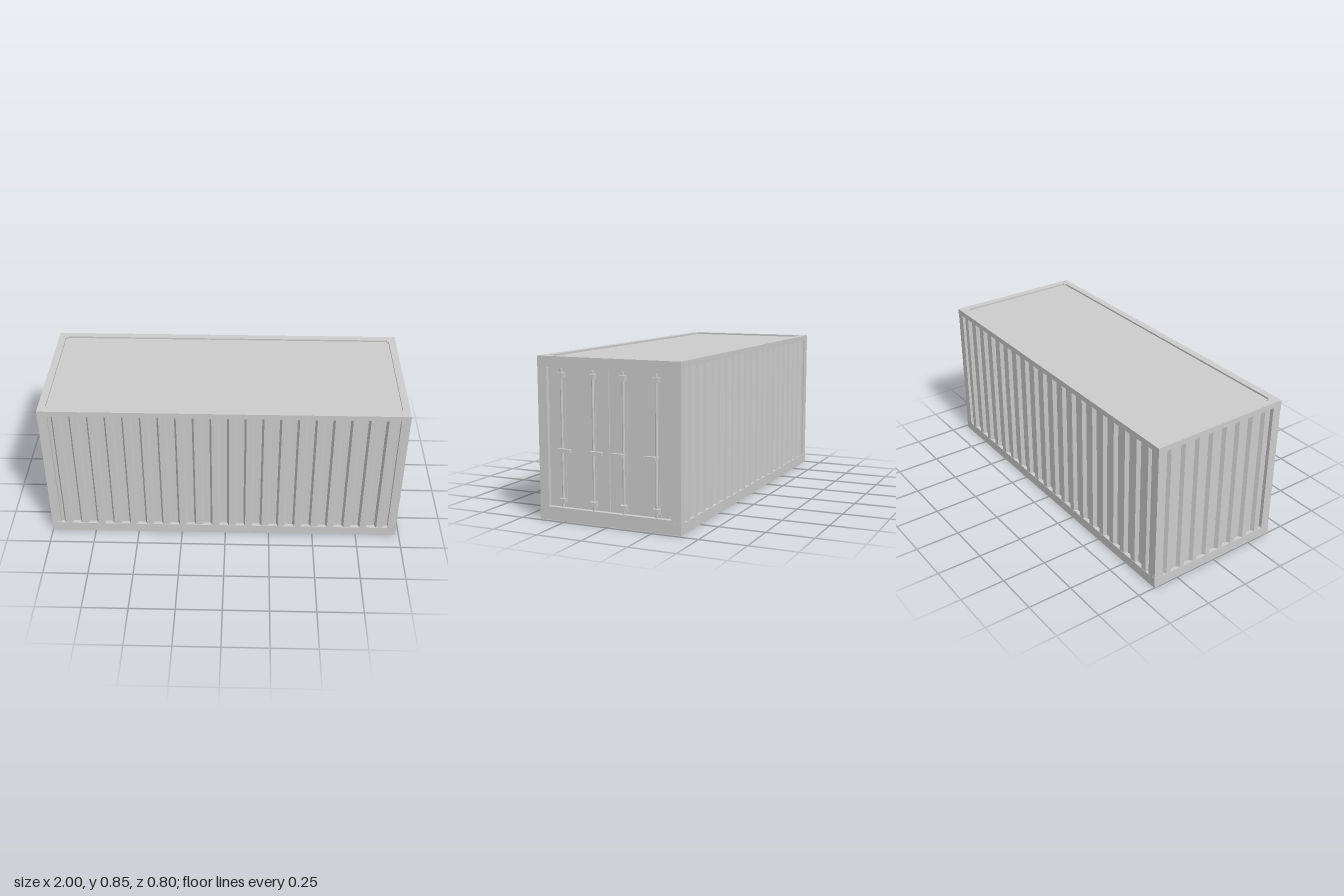
import * as THREE from 'three';

const X0 = -1, X1 = 0.98, Z = 0.4, H = 0.845; // outer frame limits
const MID = (X0 + X1) / 2;

export function createModel() {
  const root = new THREE.Group();
  root.name = 'shippingContainer';
  const mat = new THREE.MeshStandardMaterial({ color: 0xcccccc, flatShading: true });

  const add = (name, geometry, parent = root) => {
    const mesh = new THREE.Mesh(geometry, mat);
    mesh.name = name;
    parent.add(mesh);
    return mesh;
  };
  // Box given by its limits on each axis
  const box = (name, x0, x1, y0, y1, z0, z1, parent) => {
    const mesh = add(name, new THREE.BoxGeometry(x1 - x0, y1 - y0, Math.abs(z1 - z0)), parent);
    mesh.position.set((x0 + x1) / 2, (y0 + y1) / 2, (z0 + z1) / 2);
    return mesh;
  };

  // Corner castings and posts
  for (const s of [1, -1]) {
    for (const [x0, x1, name] of [[X0, X0 + 0.053, 'rear'], [X1 - 0.05, X1, 'door']]) {
      box(name + 'Post', x0 + 0.001, x1 - 0.001, 0.05, 0.8, s * 0.348, s * (Z - 0.001));
      box(name + 'LowerCasting', x0, x1, 0, 0.06, s * 0.347, s * Z);
      box(name + 'UpperCasting', x0, x1, 0.788, H, s * 0.347, s * Z);
    }
    // Long side rails
    box('bottomSideRail', X0 + 0.05, X1 - 0.05, 0, 0.055, s * 0.36, s * Z);
    box('topSideRail', X0 + 0.05, X1 - 0.05, 0.815, H, s * 0.36, s * Z);
  }

  // End rails
  box('rearBottomRail', X0, X0 + 0.04, 0, 0.055, -0.35, 0.35);
  box('rearTopRail', X0, X0 + 0.04, 0.815, H, -0.35, 0.35);
  box('doorSill', X1 - 0.04, X1, 0, 0.07, -0.35, 0.35);
  box('doorHeader', X1 - 0.04, X1, 0.79, H, -0.35, 0.35);

  // Roof and floor, slightly sunk inside the rails
  box('roof', X0 + 0.03, X1 - 0.03, 0.81, H - 0.01, -0.37, 0.37);
  box('floor', X0 + 0.03, X1 - 0.03, 0.01, 0.05, -0.37, 0.37);

  // Corrugated sheet: starts and ends in the middle of a groove, faces -z
  const corrugated = (name, length, count) => {
    const pitch = length / count, depth = 0.02, floorHalf = 0.019, grooveHalf = 0.03;
    const shape = new THREE.Shape();
    shape.moveTo(-length / 2, -0.012);
    for (let i = 0; i < count; i++) {
      const a = -length / 2 + i * pitch, b = a + pitch;
      if (i === 0) shape.lineTo(a, 0);
      shape.lineTo(a + floorHalf, 0);
      shape.lineTo(a + grooveHalf, depth);
      shape.lineTo(b - grooveHalf, depth);
      shape.lineTo(b - floorHalf, 0);
    }
    shape.lineTo(length / 2, 0);
    shape.lineTo(length / 2, -0.012);
    const geometry = new THREE.ExtrudeGeometry(shape, { depth: 0.77, bevelEnabled: false });
    geometry.rotateX(-Math.PI / 2);
    return add(name, geometry);
  };
  const offset = 0.378;
  corrugated('rightWall', 1.88, 20).position.set(MID, 0.05, -offset);
  const left = corrugated('leftWall', 1.88, 20);
  left.rotation.y = Math.PI;
  left.position.set(MID, 0.05, offset);
  const rear = corrugated('rearWall', 0.7, 8);
  rear.rotation.y = Math.PI / 2;
  rear.position.set(X0 + 0.022, 0.05, 0);

  // Double doors with locking bars
  const face = 0.957;
  box('doorSeal', face - 0.03, face - 0.008, 0.06, 0.8, -0.35, 0.35);
  for (const s of [1, -1]) {
    const door = new THREE.Group();
    door.name = s > 0 ? 'leftDoor' : 'rightDoor';
    root.add(door);
    box('doorPanel', face - 0.025, face, 0.071, 0.789, s * 0.003, s * 0.347, door);
    for (const [z, shift] of [[0.265, -0.004], [0.085, 0.005]]) {
      const rod = add('lockingBar', new THREE.CylinderGeometry(0.007, 0.007, 0.71, 8), door);
      rod.position.set(face + 0.013, 0.428, s * z);
      for (const y of [0.1, 0.76]) {
        const yc = y === 0.1 ? 0.107 : 0.752;
        box('barBracket', face, 0.989, yc - 0.0125, yc + 0.0125,
          s * (z - 0.016), s * (z + 0.016), door);
        box('bracketPlate', face, face + 0.006, y - 0.016, y + 0.016,
          s * (z + shift - 0.011), s * (z + shift + 0.011), door);
      }
      box('barBacking', face, face + 0.004, 0.085, 0.775,
        s * (z + shift - 0.011), s * (z + shift + 0.011), door);
      box('handleMount', face, 0.985, 0.363, 0.377, s * (z - 0.007), s * (z + 0.007), door);
      box('handle', 0.982, 1, 0.361, 0.38, s * (z - 0.058), s * (z + 0.007), door);
    }
  }
  return root;
}
